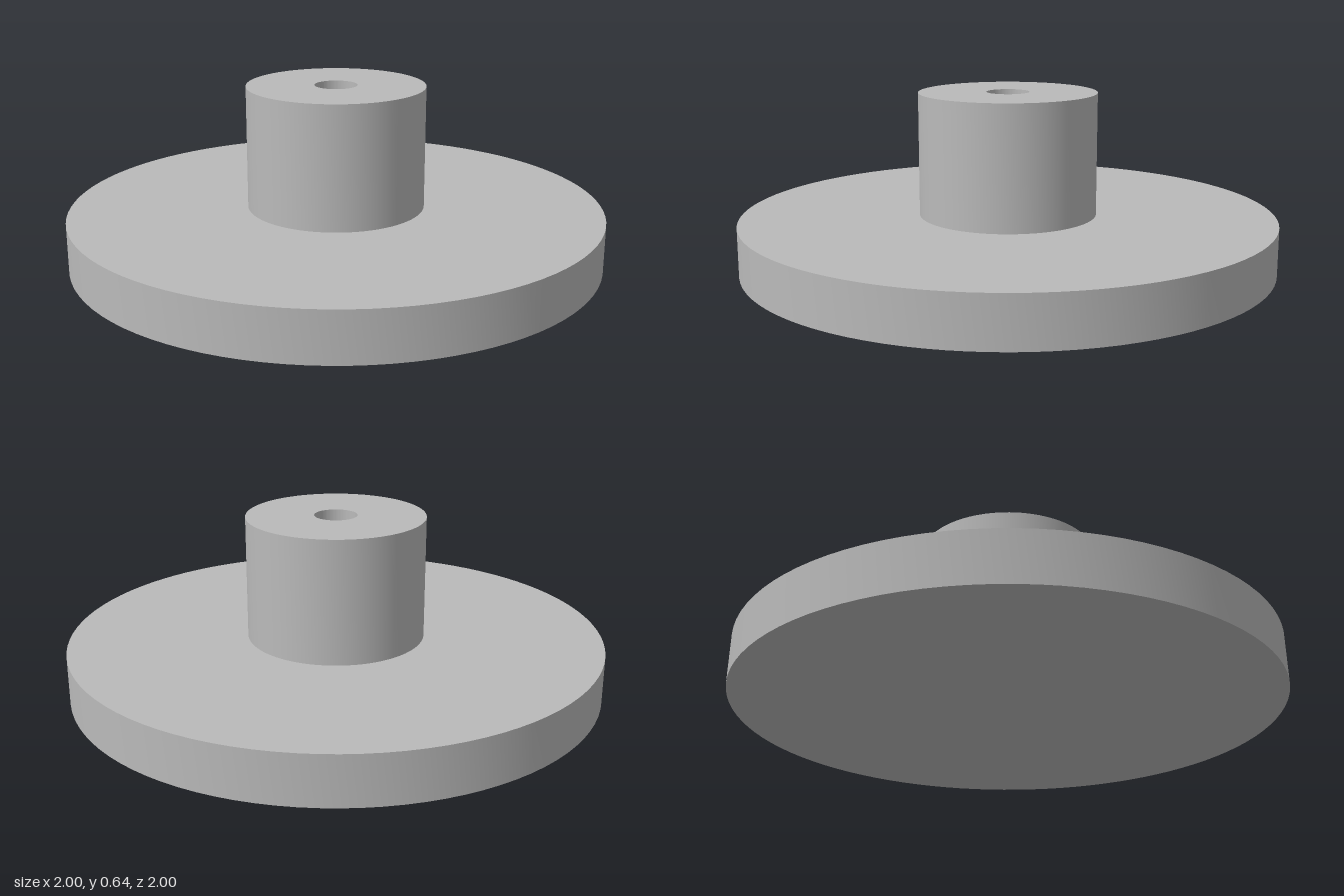
import * as THREE from 'three';
import { toCreasedNormals } from 'three/addons/utils/BufferGeometryUtils.js';

const metal = new THREE.MeshStandardMaterial({ color: 0xbababa });
metal.name = 'grey metal';

// Turned part from a profile of [radius, height] points, listed from the bottom outwards and up
function turned(name, profile) {
  const points = profile.map(([r, y]) => new THREE.Vector2(r, y));
  const geometry = toCreasedNormals(new THREE.LatheGeometry(points, 96), Math.PI / 6);
  const mesh = new THREE.Mesh(geometry, metal);
  mesh.name = name;
  return mesh;
}

export function createModel() {
  const group = new THREE.Group();
  group.name = 'flangedHub';
  const discTop = 0.18, hubTop = 0.64, hubRadius = 0.333, boreRadius = 0.08;

  // Flat round base
  group.add(turned('baseDisc', [[0, 0], [1, 0], [1, discTop], [0, discTop]]));

  // Raised hub with a blind bore ending at the disc
  group.add(turned('hub', [
    [hubRadius, discTop], [hubRadius, hubTop], [boreRadius, hubTop], [boreRadius, discTop],
  ]));
  return group;
}
